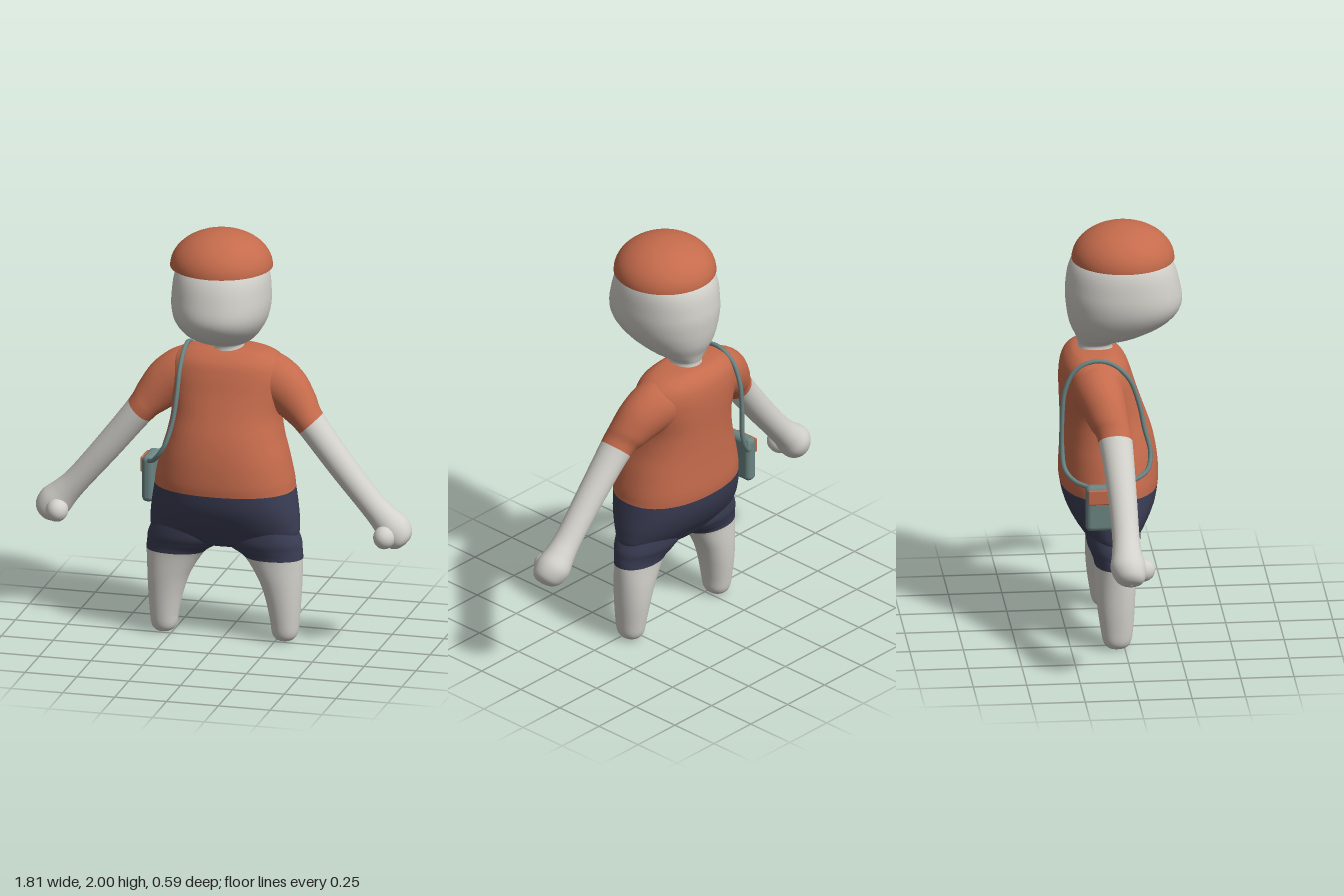
import * as THREE from 'three';
import { RoundedBoxGeometry } from 'three/addons/geometries/RoundedBoxGeometry.js';

const material = (name, color, extra = {}) => {
  const m = new THREE.MeshStandardMaterial({ color, ...extra });
  m.name = name;
  return m;
};

// Value at t between p1 and p2 on a Catmull-Rom spline
const spline = (p0, p1, p2, p3, t) =>
  0.5 * (2 * p1 + (p2 - p0) * t + (2 * p0 - 5 * p1 + 4 * p2 - p3) * t * t + (3 * p1 - p0 - 3 * p2 + p3) * t * t * t);

// Smooth skin through rings listed from top to bottom.
// Ring: [x, y, z, half width, half depth, tilt]; splitKey is the ring where the second material starts.
function loft(keys, { power = 2, splitKey = 0, seg = 40, steps = 6 } = {}) {
  const pos = [], index = [];
  const last = keys.length - 1, rows = last * steps;
  const key = (i) => keys[Math.min(last, Math.max(0, i))];
  const bend = (v) => Math.sign(v) * Math.abs(v) ** (2 / power);
  for (let r = 0; r <= rows; r++) {
    const i = Math.min(last - 1, Math.floor(r / steps)), t = r / steps - i;
    const [x, y, z, a, b, tilt] = [0, 1, 2, 3, 4, 5].map((k) =>
      spline(key(i - 1)[k] ?? 0, key(i)[k] ?? 0, key(i + 1)[k] ?? 0, key(i + 2)[k] ?? 0, t));
    for (let s = 0; s < seg; s++) {
      const f = (s / seg) * Math.PI * 2;
      const u = Math.max(a, 0.002) * bend(Math.cos(f)), v = Math.max(b, 0.002) * bend(Math.sin(f));
      pos.push(x + u * Math.cos(tilt), y + u * Math.sin(tilt), z + v);
      if (r < rows) {
        const p = r * seg + s, q = r * seg + ((s + 1) % seg);
        index.push(p, q, p + seg, q, q + seg, p + seg);
      }
    }
  }
  const g = new THREE.BufferGeometry();
  g.setAttribute('position', new THREE.Float32BufferAttribute(pos, 3));
  g.setIndex(index);
  g.computeVertexNormals();
  if (splitKey) {
    const start = splitKey * steps * seg * 6;
    g.addGroup(0, start, 0);
    g.addGroup(start, index.length - start, 1);
  }
  return g;
}

const mirrored = (keys, side) => keys.map(([x, y, z, a, b, tilt = 0]) => [x * side, y, z, a, b, tilt * side]);

export function createModel() {
  const model = new THREE.Group();
  const skin = material('pale skin', 0xd3d1cb);
  const orange = material('orange cloth', 0xc56b4c);
  const capCloth = material('orange cap cloth', 0xc56b4c, { side: THREE.DoubleSide });
  const navy = material('navy cloth', 0x3b3e55);
  const teal = material('teal leather', 0x6b8583);

  const add = (name, geometry, mat, parent = model) => {
    const mesh = new THREE.Mesh(geometry, mat);
    mesh.name = name;
    parent.add(mesh);
    return mesh;
  };

  // Head and neck
  add('head', loft([
    [0, 1.94, 0, 0.01, 0.01], [0, 1.92, 0.01, 0.11, 0.12], [0, 1.83, 0.01, 0.205, 0.23],
    [0, 1.7, 0.018, 0.228, 0.268], [0, 1.6, 0.022, 0.22, 0.268], [0, 1.52, -0.003, 0.182, 0.228],
    [0, 1.46, -0.05, 0.13, 0.155], [0, 1.43, -0.1, 0.085, 0.095], [0, 1.41, -0.11, 0.07, 0.08],
    [0, 1.37, -0.11, 0.08, 0.085],
  ], { power: 2.15 }), skin);

  // Domed cap, open underneath
  const cap = add('cap', new THREE.SphereGeometry(0.24, 48, 16, 0, Math.PI * 2, 0, Math.PI / 2), capCloth);
  cap.scale.y = 0.17 / 0.24;
  cap.position.set(0, 1.83, 0.02);

  // Shirt and seat of the shorts: [y, half width, front z, back z]
  const torso = [
    [1.402, 0.01, -0.1, -0.12], [1.397, 0.12, -0.045, -0.2], [1.38, 0.21, -0.01, -0.235],
    [1.34, 0.265, 0.03, -0.265], [1.28, 0.285, 0.055, -0.278], [1.2, 0.275, 0.08, -0.28],
    [1.1, 0.26, 0.115, -0.276], [1.0, 0.274, 0.15, -0.275], [0.9, 0.302, 0.172, -0.277],
    [0.8, 0.325, 0.181, -0.281], [0.74, 0.333, 0.178, -0.277], [0.66, 0.346, 0.163, -0.258],
    [0.58, 0.355, 0.128, -0.22], [0.51, 0.345, 0.085, -0.17], [0.47, 0.24, 0.055, -0.14],
    [0.452, 0.1, 0.02, -0.1], [0.449, 0.005, -0.035, -0.045],
  ].map(([y, w, front, back]) => [0, y, (front + back) / 2, w, (front - back) / 2]);
  add('shirtAndShorts', loft(torso, { power: 2.25, splitKey: 10, seg: 56 }), [orange, navy]);

  // Sleeve, arm and hand
  const arm = [
    [0.1, 1.26, -0.13, 0.11, 0.11, 1.45], [0.2, 1.25, -0.12, 0.125, 0.12, 1.3],
    [0.29, 1.2, -0.1, 0.115, 0.108, 1.0], [0.36, 1.13, -0.075, 0.09, 0.092, 0.8],
    [0.412, 1.067, -0.053, 0.072, 0.079, 0.75], [0.565, 0.876, -0.038, 0.065, 0.068, 0.72],
    [0.7, 0.715, -0.033, 0.061, 0.064, 0.72], [0.765, 0.645, -0.033, 0.068, 0.07, 0.72],
    [0.815, 0.592, -0.032, 0.08, 0.082, 0.72], [0.85, 0.55, -0.025, 0.07, 0.07, 0.72],
    [0.868, 0.529, -0.02, 0.042, 0.045, 0.72], [0.873, 0.522, -0.02, 0.004, 0.004, 0.72],
  ];

  // Leg with the cuff of the shorts
  const leg = [
    [0.17, 0.62, -0.045, 0.14, 0.13], [0.18, 0.5, -0.043, 0.184, 0.125], [0.2, 0.45, -0.041, 0.172, 0.109],
    [0.235, 0.405, -0.04, 0.14, 0.096], [0.267, 0.3, -0.04, 0.104, 0.093], [0.283, 0.2, -0.039, 0.083, 0.087],
    [0.29, 0.1, -0.036, 0.068, 0.076], [0.291, 0.04, -0.035, 0.06, 0.066], [0.291, 0.012, -0.035, 0.043, 0.048],
    [0.291, 0.002, -0.035, 0.02, 0.022], [0.291, 0, -0.035, 0.002, 0.002],
  ];

  for (const [side, label] of [[1, 'left'], [-1, 'right']]) {
    add(label + 'Arm', loft(mirrored(arm, side), { splitKey: 4 }), [orange, skin]);
    add(label + 'Leg', loft(mirrored(leg, side), { splitKey: 3, power: 2.1 }), [navy, skin]);
    const thumb = add(label + 'Thumb', new THREE.SphereGeometry(0.055, 24, 16), skin);
    thumb.scale.set(0.95, 1, 1.1);
    thumb.position.set(side * 0.79, 0.568, 0.036);
  }

  // Shoulder bag hanging at the right hip
  const bag = new THREE.Group();
  bag.name = 'shoulderBag';
  model.add(bag);
  add('bagBody', new RoundedBoxGeometry(0.058, 0.225, 0.16, 4, 0.025), teal, bag).position.set(-0.374, 0.73, -0.11);
  add('bagFlap', new RoundedBoxGeometry(0.014, 0.072, 0.12, 3, 0.006), orange, bag).position.set(-0.408, 0.792, -0.12);
  add('bagClasp', new THREE.BoxGeometry(0.012, 0.03, 0.04), teal, bag).position.set(-0.401, 0.792, -0.12);

  // Strap over the right shoulder, from bag front to bag back
  const strapPath = new THREE.CatmullRomCurve3([
    [-0.365, 0.82, -0.04], [-0.345, 0.845, 0.03], [-0.3, 0.88, 0.105], [-0.25, 0.95, 0.125], [-0.217, 1.06, 0.1],
    [-0.203, 1.18, 0.075], [-0.2, 1.3, 0.03], [-0.2, 1.375, -0.05], [-0.2, 1.392, -0.13], [-0.2, 1.35, -0.22],
    [-0.2, 1.25, -0.27], [-0.2, 1.1, -0.284], [-0.203, 0.97, -0.284], [-0.24, 0.88, -0.275],
    [-0.3, 0.84, -0.235], [-0.365, 0.825, -0.165],
  ].map((p) => new THREE.Vector3(...p)));
  add('bagStrap', new THREE.TubeGeometry(strapPath, 120, 0.011, 8), teal, bag);

  return model;
}
